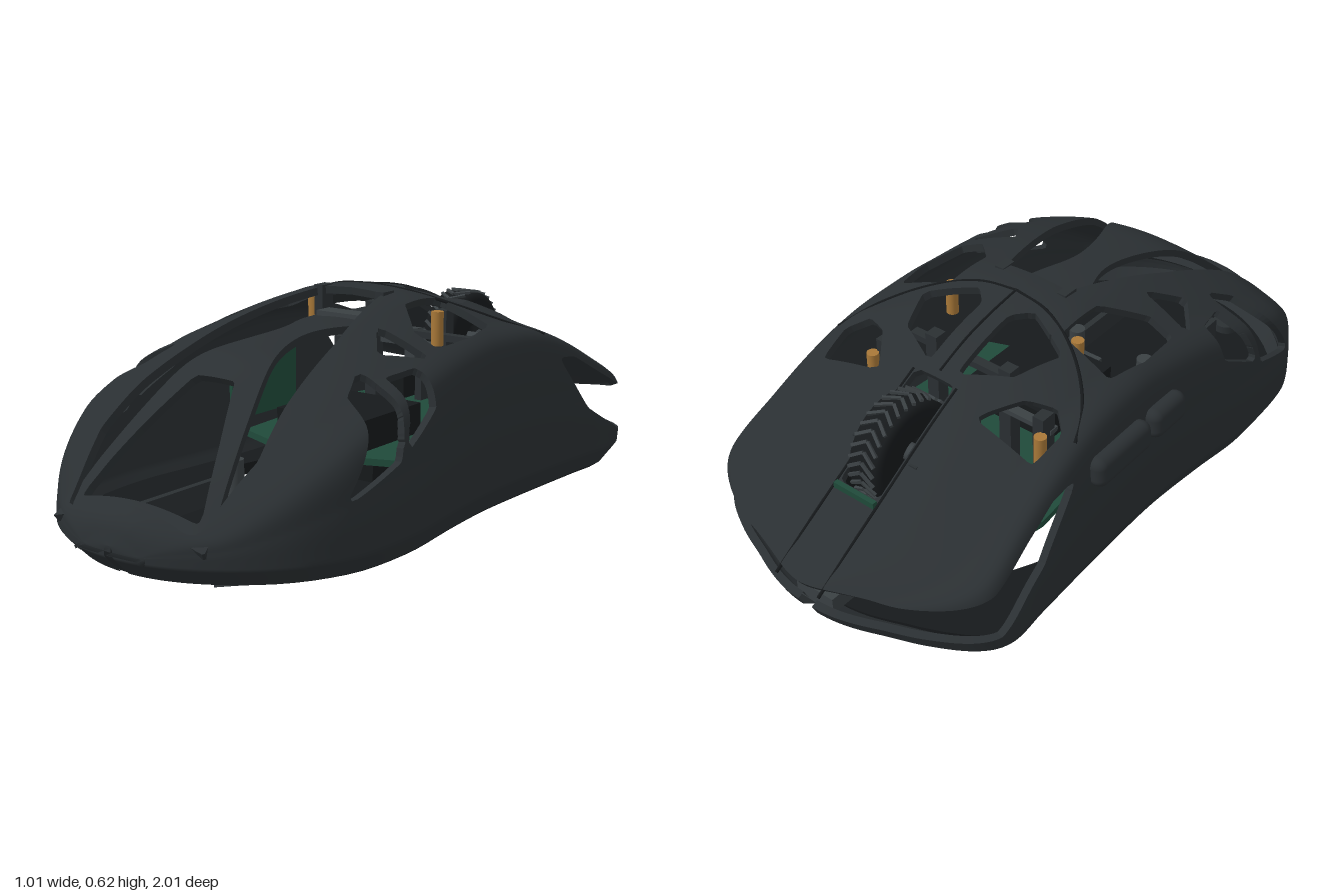
import * as THREE from 'three';
import { RoundedBoxGeometry } from 'three/addons/geometries/RoundedBoxGeometry.js';

const mat = (color) => new THREE.MeshStandardMaterial({ color, side: THREE.DoubleSide });
const shellMat = mat(0x2a2f32), darkMat = mat(0x16191b), greyMat = mat(0x3a4043);
const boardMat = mat(0x1f4a3a), goldMat = mat(0xa87838);
const V = (x, y, z) => new THREE.Vector3(x, y, z);

// smooth function through [key, value] pairs
function curve(p) {
  const slope = (i) => {
    const a = p[Math.max(0, i - 1)], b = p[Math.min(p.length - 1, i + 1)];
    return (b[1] - a[1]) / (b[0] - a[0]);
  };
  return (t) => {
    let i = 0;
    while (i < p.length - 2 && t > p[i + 1][0]) i++;
    const d = p[i + 1][0] - p[i][0], k = THREE.MathUtils.clamp((t - p[i][0]) / d, 0, 1);
    const k2 = k * k, k3 = k2 * k;
    return (2 * k3 - 3 * k2 + 1) * p[i][1] + (k3 - 2 * k2 + k) * d * slope(i)
      + (3 * k2 - 2 * k3) * p[i + 1][1] + (k3 - k2) * d * slope(i + 1);
  };
}

// signed distance to a polygon, positive outside
function polyDistance(p, x, y) {
  let d = Infinity, s = 1;
  for (let i = 0, j = p.length - 1; i < p.length; j = i++) {
    const ex = p[j][0] - p[i][0], ey = p[j][1] - p[i][1], wx = x - p[i][0], wy = y - p[i][1];
    const t = THREE.MathUtils.clamp((wx * ex + wy * ey) / (ex * ex + ey * ey), 0, 1);
    d = Math.min(d, Math.hypot(wx - ex * t, wy - ey * t));
    const a = y >= p[i][1], b = y < p[j][1], c = ex * wy > ey * wx;
    if ((a && b && c) || (!a && !b && !c)) s = -s;
  }
  return s * d;
}

// thick shell from surface(u, v), kept where keep(point) > 0, with rim walls along every cut
function cutShell(surface, nu, nv, keep, thick) {
  const pos = [], nor = [], grid = [], e = 1e-3;
  for (let j = 0; j <= nv; j++) for (let i = 0; i <= nu; i++) {
    const u = i / nu, v = j / nv, p = surface(u, v);
    const du = surface(Math.min(1, u + e), v).sub(surface(Math.max(0, u - e), v));
    const dv = surface(u, Math.min(1, v + e)).sub(surface(u, Math.max(0, v - e)));
    const n = dv.cross(du).normalize();
    grid.push({ p, n, q: p.clone().addScaledVector(n, -thick), f: keep(p) });
  }
  const put = (p, n, s = 1) => { pos.push(p.x, p.y, p.z); nor.push(n.x * s, n.y * s, n.z * s); };
  const mix = (a, b) => {
    const t = a.f / (a.f - b.f);
    return { p: a.p.clone().lerp(b.p, t), q: a.q.clone().lerp(b.q, t), n: a.n.clone().lerp(b.n, t).normalize(), cut: true };
  };
  const triangle = (t) => {
    const out = [];
    t.forEach((a, i) => {
      const b = t[(i + 1) % 3];
      if (a.f > 0) out.push(a);
      if ((a.f > 0) !== (b.f > 0)) out.push(mix(a, b));
    });
    for (let i = 1; i + 1 < out.length; i++) {
      [out[0], out[i], out[i + 1]].forEach((c) => put(c.p, c.n));
      [out[0], out[i + 1], out[i]].forEach((c) => put(c.q, c.n, -1));
    }
    out.forEach((a, i) => {
      const b = out[(i + 1) % out.length];
      if (!a.cut || !b.cut) return;
      const n = b.p.clone().sub(a.p).cross(a.n).normalize();
      [a.p, a.q, b.q, a.p, b.q, b.p].forEach((c) => put(c, n));
    });
  };
  for (let j = 0; j < nv; j++) for (let i = 0; i < nu; i++) {
    const k = j * (nu + 1) + i, a = grid[k], b = grid[k + nu + 1], c = grid[k + 1], d = grid[k + nu + 2];
    triangle([a, b, c]); triangle([c, b, d]);
  }
  const g = new THREE.BufferGeometry();
  g.setAttribute('position', new THREE.Float32BufferAttribute(pos, 3));
  g.setAttribute('normal', new THREE.Float32BufferAttribute(nor, 3));
  return g;
}

// body outline: half width by s (z = sin(s * 90deg)), crown height and shoulder by z
const halfWidth = curve([[-1, 0.02], [-0.8, 0.21], [-0.713, 0.33], [-0.623, 0.44], [-0.55, 0.485], [-0.41, 0.48],
  [-0.262, 0.472], [-0.1, 0.465], [0, 0.466], [0.128, 0.482], [0.262, 0.503], [0.41, 0.49], [0.494, 0.455],
  [0.59, 0.395], [0.713, 0.29], [1, 0.01]]);
const crown = curve([[-1, 0.185], [-0.8, 0.3], [-0.5, 0.48], [-0.3, 0.57], [-0.1, 0.61], [0, 0.612], [0.2, 0.585],
  [0.4, 0.53], [0.6, 0.45], [0.7, 0.385], [0.8, 0.3], [0.9, 0.205], [0.95, 0.18], [0.98, 0.15], [1, 0.1]]);
const shoulder = curve([[-1, 0.88], [-0.5, 0.84], [0, 0.76], [0.5, 0.74], [1, 0.7]]);

// u runs 0 (left base) to 1 (right base), s along the length
function bodyPoint(u, s) {
  const z = Math.sin(s * Math.PI / 2), w = halfWidth(s), H = crown(z), sh = Math.max(0.09, H * shoulder(z));
  const t = 1 - Math.abs(2 * u - 1), r = H - sh;
  let x = curve([[0, 1], [0.08, 1], [0.3, 0.985], [0.5, 0.93], [0.65, 0.72], [0.8, 0.42], [0.9, 0.2], [1, 0]])(t) * w;
  const y = curve([[0, 0.015], [0.08, 0.075], [0.3, 0.08 + 0.5 * (sh - 0.08)], [0.5, sh], [0.65, sh + 0.45 * r],
    [0.8, sh + 0.83 * r], [0.9, sh + 0.96 * r], [1, H]])(t);
  const k = 1 - 0.07 * Math.max(0, 1 - y / 0.07);
  const front = z < 0 ? 1 - 0.45 * Math.max(0, 0.18 - y) * Math.min(1, -z) : 1;
  return V(Math.sign(u - 0.5) * x * k, y, z * k * front);
}
function heightAt(x, z) {
  let lo = 0.5, hi = 1;
  const s = Math.asin(z) * 2 / Math.PI;
  for (let i = 0; i < 25; i++) {
    const m = (lo + hi) / 2;
    if (bodyPoint(m, s).x < Math.abs(x)) lo = m; else hi = m;
  }
  return bodyPoint(lo, s).y;
}

// openings as (x, z) outlines from above and (z, y) outlines from the side
const topHoles = [
  [[-0.05, 0.02], [0.1, 0.02], [0.19, 0.35], [0.26, 0.75], [0.21, 0.92], [-0.05, 0.92]],
  [[0.21, -0.13], [0.36, -0.14], [0.38, -0.02], [0.37, 0.12], [0.31, 0.12], [0.21, 0.02]],
  [[0.25, 0.21], [0.38, 0.2], [0.31, 0.29]],
  [[0.06, -0.38], [0.18, -0.32], [0.23, -0.2], [0.1, -0.14], [0.06, -0.18]],
  [[0.19, -0.46], [0.36, -0.47], [0.37, -0.38], [0.33, -0.34], [0.26, -0.37]],
  [[-0.05, -0.73], [0.055, -0.73], [0.055, -0.44], [-0.05, -0.44]],
];
const sideHoles = [
  [[0.63, 0.22], [0.46, 0.28], [0.41, 0.46], [0.49, 0.42]],
  [[0.41, 0.31], [0.28, 0.38], [0.27, 0.46], [0.36, 0.45]],
  [[-0.43, 0.38], [-0.5, 0.37], [-0.75, 0.245], [-1.1, 0.155], [-1.1, 0.11], [-0.75, 0.12], [-0.57, 0.22]],
];
function keepBody(p) {
  const x = Math.abs(p.x);
  let f = 1;
  for (const h of topHoles) f = Math.min(f, Math.max(polyDistance(h, x, p.z) - 0.012, 0.15 - p.y));
  for (const h of sideHoles) f = Math.min(f, polyDistance(h, p.z, p.y) - 0.01);
  return f;
}

export function createModel() {
  const model = new THREE.Group();
  const add = (name, geo, m, x = 0, y = 0, z = 0) => {
    const o = new THREE.Mesh(geo, m);
    o.name = name; o.position.set(x, y, z); model.add(o);
    return o;
  };
  const box = (name, w, h, d, m, x, y, z) => add(name, new THREE.BoxGeometry(w, h, d), m, x, y, z);
  const disc = (name, r, h, m, x, y, z) => add(name, new THREE.CylinderGeometry(r, r, h, 24), m, x, y, z);
  // flat plate from an (x, z) outline, top face at y
  const plate = (name, outline, holes, depth, y, m) => {
    const shape = new THREE.Shape(outline.map((p) => new THREE.Vector2(...p)));
    shape.holes = holes.map((h) => new THREE.Path(h.map((p) => new THREE.Vector2(...p))));
    return add(name, new THREE.ExtrudeGeometry(shape, { depth, bevelEnabled: false }).rotateX(Math.PI / 2), m, 0, y, 0);
  };
  const flip = (h) => h.map(([x, z]) => [-x, z]);

  // outer shell
  add('outerShell', cutShell((u, v) => bodyPoint(u, (2 * v - 1) * 0.995), 110, 150, keepBody, 0.022), shellMat);

  // inner Y-shaped palm spine
  const spineWidth = curve([[0, 0.12], [0.1, 0.1], [0.25, 0.055], [0.38, 0.07], [0.57, 0.14], [0.75, 0.2], [0.93, 0.26]]);
  const spineHeight = curve([[0, 0.53], [0.2, 0.53], [0.45, 0.508], [0.55, 0.48], [0.65, 0.41], [0.8, 0.28], [0.9, 0.18], [0.96, 0.14]]);
  const arch = [[-0.05, 0.61], [0.06, 0.61], [0.13, 0.75], [0.19, 0.88], [-0.05, 0.88]];
  add('palmSpine', cutShell((u, v) => {
    const x = (u - 0.5) * 0.6, z = -0.02 + v * 0.97;
    return V(x, spineHeight(z) - 0.6 * x * x, z);
  }, 40, 60, (p) => Math.min(spineWidth(p.z) - Math.abs(p.x), polyDistance(arch, Math.abs(p.x), p.z) - 0.012, p.z + 0.01, 0.94 - p.z), 0.022), shellMat);
  box('spineCap', 0.18, 0.015, 0.06, greyMat, 0, 0.535, 0.03);
  for (const s of [-1, 1]) box('spinePost', 0.03, 0.09, 0.05, shellMat, s * 0.11, 0.565, 0);

  // dark seams following the shell
  const seam = (pts) => {
    const path = new THREE.CatmullRomCurve3(pts.map(([x, z]) => V(x, heightAt(x, z) - 0.001, z)));
    add('seam', new THREE.TubeGeometry(path, 30, 0.005, 5), darkMat);
  };
  for (const s of [-1, 1]) {
    seam([-0.985, -0.85, -0.7, -0.55, -0.43].map((z) => [s * 0.075, z]));
    seam([[0, -0.085], [0.12, -0.1], [0.25, -0.16], [0.36, -0.26], [0.42, -0.37]].map(([x, z]) => [s * x, z]));
  }
  seam([-0.41, -0.3, -0.2, -0.09].map((z) => [0, z]));

  // base plate with vents
  const outline = [];
  for (let i = 0; i <= 48; i++) {
    const s = -1 + i / 24, z = Math.sin(s * Math.PI / 2);
    outline.push([0.935 * halfWidth(s), z * (z < 0 ? 0.87 : 0.93)]);
  }
  const vents = [
    [[0.14, -0.5], [0.3, -0.52], [0.35, -0.42], [0.32, -0.22], [0.22, -0.16], [0.13, -0.24]],
    [[0.2, 0.02], [0.32, -0.02], [0.35, 0.12], [0.32, 0.3], [0.22, 0.3], [0.17, 0.16]],
    [[0.195, 0.45], [0.21, 0.45], [0.21, 0.6], [0.195, 0.6]],
  ];
  plate('basePlate', [...outline, ...flip(outline).reverse()],
    [...vents, ...vents.map(flip), [[-0.13, 0.875], [0.13, 0.875], [0.13, 0.89], [-0.13, 0.89]]], 0.035, 0.045, darkMat);
  const pad = [[0.12, 0.36], [0.19, 0.45], [0.24, 0.7], [0.18, 0.85]];
  plate('rearPad', [...pad, ...flip(pad).reverse()], [], 0.006, 0.01, shellMat);
  const frontFoot = [[0.2, -0.8], [0.3, -0.79], [0.41, -0.68], [0.4, -0.62], [0.22, -0.66]];
  const rearFoot = [[0.3, 0.52], [0.42, 0.5], [0.38, 0.68], [0.22, 0.86], [0.26, 0.7]];
  for (const f of [frontFoot, rearFoot, flip(frontFoot), flip(rearFoot)]) plate('foot', f, [], 0.01, 0.01, greyMat);
  const ring = add('sensorRing', new THREE.TorusGeometry(0.075, 0.012, 8, 32), greyMat, 0, 0.012, -0.05);
  ring.rotation.x = Math.PI / 2;
  disc('sensorLens', 0.045, 0.012, shellMat, 0, 0.008, -0.05);
  for (const z of [-0.3, 0.2]) disc('baseScrew', 0.035, 0.01, greyMat, 0, 0.008, z);

  // scroll wheel with chevron tread
  const wheel = new THREE.Group();
  wheel.name = 'scrollWheel';
  wheel.position.set(0, 0.372, -0.575);
  model.add(wheel);
  const tyre = new THREE.Mesh(new THREE.LatheGeometry([[0.05, -0.05], [0.13, -0.055], [0.15, -0.045], [0.153, 0],
    [0.15, 0.045], [0.13, 0.055], [0.05, 0.05]].map((p) => new THREE.Vector2(...p)), 48).rotateZ(Math.PI / 2), darkMat);
  tyre.name = 'wheelTyre';
  wheel.add(tyre);
  for (let i = 0; i < 32; i++) for (const s of [-1, 1]) {
    const rib = new THREE.Mesh(new THREE.BoxGeometry(0.05, 0.008, 0.009).rotateY(s * 0.6).translate(s * 0.022, 0.154, 0), greyMat);
    rib.name = 'wheelRib';
    rib.rotation.x = i * Math.PI / 16;
    wheel.add(rib);
  }
  const axle = disc('wheelAxle', 0.025, 0.24, greyMat, 0, 0.372, -0.575);
  axle.rotation.z = Math.PI / 2;

  // side buttons on the model's right
  for (const [z, l] of [[-0.23, 0.24], [-0.02, 0.15]]) {
    add('sideButton', new RoundedBoxGeometry(0.06, 0.09, l, 4, 0.028), shellMat, -0.465, 0.365, z).rotation.z = -0.08;
  }

  // circuit boards and inner frame
  plate('mainBoard', [[-0.3, -0.62], [0.3, -0.62], [0.34, -0.4], [0.3, 0.14], [0.14, 0.2], [-0.14, 0.2], [-0.3, 0.14], [-0.34, -0.4]], [], 0.02, 0.17, boardMat);
  box('wheelBoard', 0.14, 0.18, 0.015, boardMat, 0, 0.25, -0.755);
  box('sideBoard', 0.012, 0.2, 0.3, boardMat, -0.345, 0.29, 0);
  box('battery', 0.3, 0.09, 0.3, darkMat, 0, 0.22, 0.02);
  box('sensorHousing', 0.2, 0.08, 0.18, darkMat, 0, 0.09, -0.05);
  box('rearConnector', 0.14, 0.03, 0.05, greyMat, 0, 0.205, 0.21);
  box('crossBar', 0.6, 0.015, 0.03, greyMat, 0, 0.4, -0.3);
  box('crossBar', 0.5, 0.02, 0.03, shellMat, 0, 0.445, -0.24);
  box('frontPort', 0.13, 0.05, 0.1, greyMat, 0, 0.1, -0.88);
  for (const s of [-1, 1]) {
    box('switchBlock', 0.1, 0.09, 0.18, darkMat, s * 0.2, 0.215, -0.56);
    box('buttonPlunger', 0.04, 0.12, 0.05, greyMat, s * 0.2, 0.32, -0.6);
    box('wheelBracket', 0.025, 0.24, 0.16, shellMat, s * 0.1, 0.28, -0.56);
    box('frameUpright', 0.04, 0.36, 0.04, shellMat, s * 0.13, 0.34, -0.28);
    box('frameUpright', 0.035, 0.3, 0.05, shellMat, s * 0.28, 0.31, -0.32);
    disc('brassPost', 0.018, 0.1, goldMat, s * 0.225, 0.5, -0.1);
    disc('brassPost', 0.018, 0.1, goldMat, s * 0.3, 0.37, -0.36);
    disc('boardPillar', 0.025, 0.12, greyMat, s * 0.13, 0.1, 0.38);
    disc('rearScrew', 0.042, 0.03, shellMat, s * 0.155, 0.055, 0.82);
    box('floorRib', 0.02, 0.08, 0.4, shellMat, s * 0.15, 0.075, 0.55);
  }
  return model;
}
